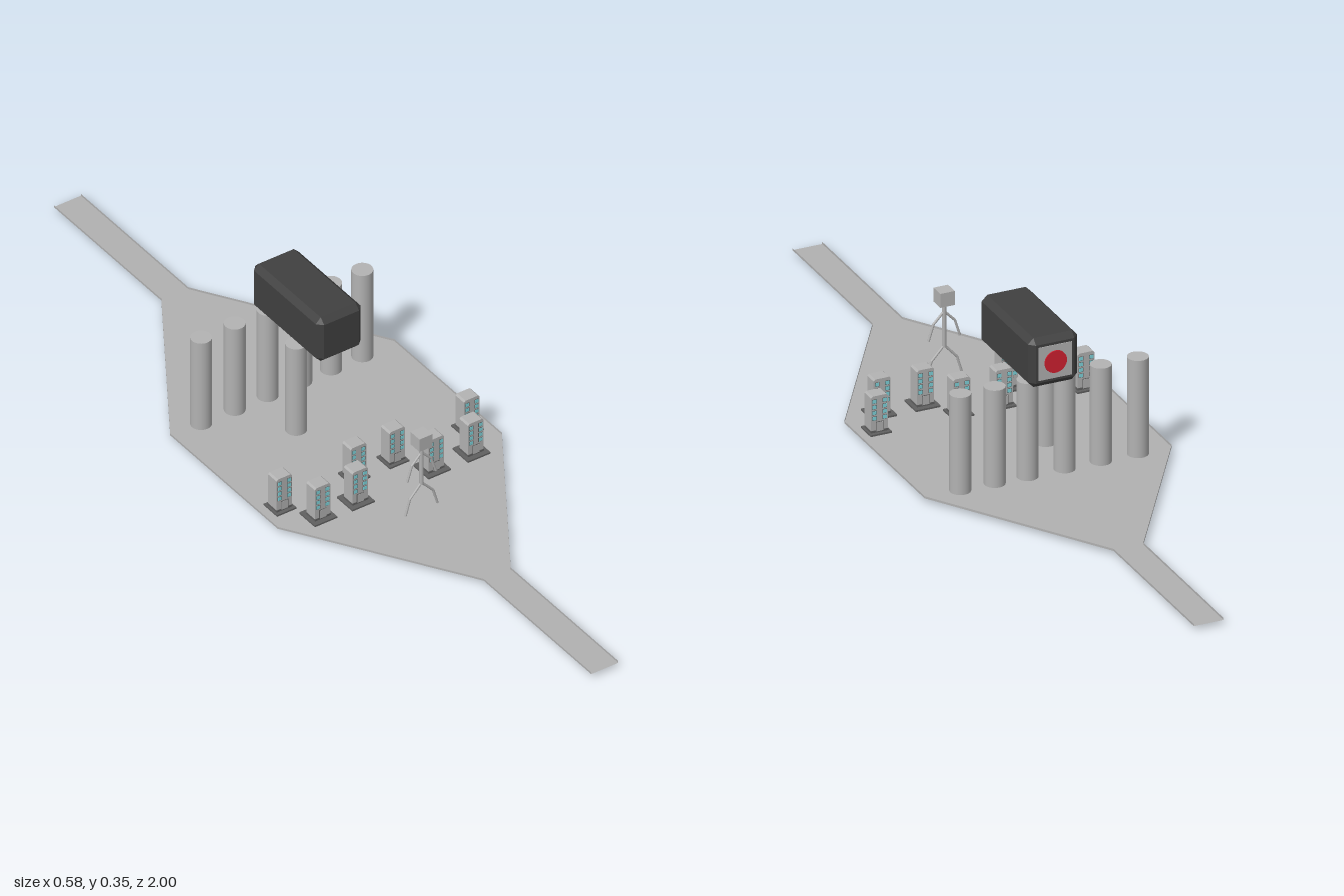
import * as THREE from 'three';
import { ConvexGeometry } from 'three/addons/geometries/ConvexGeometry.js';

const mat = (name, color, extra = {}) => {
  const m = new THREE.MeshStandardMaterial({ color, ...extra });
  m.name = name;
  return m;
};

export function createModel() {
  const grey = mat('light grey', 0xb2b2b2);
  const deckGrey = mat('deck grey', 0xb0b0b0, { side: THREE.DoubleSide });
  const plinthGrey = mat('plinth grey', 0x606060);
  const dark = mat('charcoal', 0x404040);
  const glass = mat('window blue', 0x7fd4dc);
  const red = mat('red', 0xd02030);

  const root = new THREE.Group();
  const add = (parent, name, geo, material, x = 0, y = 0, z = 0) => {
    const m = new THREE.Mesh(geo, material);
    m.name = name;
    m.position.set(x, y, z);
    parent.add(m);
    return m;
  };
  const box = (w, h, d) => new THREE.BoxGeometry(w, h, d);

  // Thin deck with a road at each end
  const edge = [[0.035, -1], [0.035, -0.6], [0.29, -0.2], [0.29, 0.2], [0.035, 0.6], [0.035, 1]];
  const outline = [...edge, ...edge.map(([x, z]) => [-x, z]).reverse()];
  const shape = new THREE.Shape(outline.map(([x, z]) => new THREE.Vector2(x, z)));
  add(root, 'deck', new THREE.ShapeGeometry(shape).rotateX(-Math.PI / 2), deckGrey, 0, 0.01, 0);

  // Low kerbs along both sides, open at the road ends
  for (const s of [1, -1]) {
    const pos = [];
    for (let i = 0; i < edge.length - 1; i++) {
      const [ax, az] = edge[i], [bx, bz] = edge[i + 1];
      const a = [s * ax, 0.01, az], b = [s * bx, 0.01, bz];
      const c = [s * bx, 0.015, bz], d = [s * ax, 0.015, az];
      const quad = s > 0 ? [a, c, b, a, d, c] : [a, b, c, a, c, d];
      pos.push(...quad.flat());
    }
    const g = new THREE.BufferGeometry();
    g.setAttribute('position', new THREE.Float32BufferAttribute(pos, 3));
    g.computeVertexNormals();
    add(root, s > 0 ? 'leftKerb' : 'rightKerb', g, deckGrey);
  }

  // Round pillars
  const pillarGeo = new THREE.CylinderGeometry(0.0235, 0.0235, 0.23, 32);
  const pillars = [[-0.212, -0.197], [-0.125, -0.197], [-0.04, -0.197], [0.047, -0.197],
    [0.124, -0.197], [0.205, -0.197], [-0.058, -0.065]];
  for (const [x, z] of pillars) add(root, 'pillar', pillarGeo, grey, x, 0.125, z);

  // Chamfered dark block with a lamp on its back
  const block = new THREE.Group();
  block.name = 'block';
  block.position.set(0, 0.29, -0.107);
  root.add(block);
  const h = [0.058, 0.058, 0.128], c = 0.013, corners = [];
  for (const sx of [1, -1]) for (const sy of [1, -1]) for (const sz of [1, -1])
    for (let k = 0; k < 3; k++) {
      const p = h.map((v, i) => (i === k ? v : v - c));
      corners.push(new THREE.Vector3(sx * p[0], sy * p[1], sz * p[2]));
    }
  add(block, 'blockBody', new ConvexGeometry(corners), dark);
  add(block, 'lampPanel', box(0.078, 0.078, 0.002), grey, 0, 0, -0.1285);
  add(block, 'lamp', new THREE.CylinderGeometry(0.026, 0.026, 0.004, 32).rotateX(Math.PI / 2), red, 0, 0, -0.13);

  // Small towers: bevelled corners on top, windows and doors front and back
  const w = 0.02, top = 0.1, b = 0.004;
  const face = new THREE.Shape([[-w, 0.01], [w, 0.01], [w, top - b], [w - b, top], [b - w, top], [-w, top - b]]
    .map(([x, y]) => new THREE.Vector2(x, y)));
  const towerGeo = new THREE.ExtrudeGeometry(face, { depth: 0.032, bevelEnabled: false }).translate(0, 0, -0.016);
  const windowGeo = box(0.009, 0.008, 0.002);
  const frameGeo = box(0.011, 0.01, 0.001);
  const tower = (x, z, plate) => {
    const t = new THREE.Group();
    t.name = 'tower';
    t.position.set(x, 0, z);
    root.add(t);
    add(t, 'towerBody', towerGeo, grey);
    add(t, 'towerPlate', box(plate, 0.004, plate), plinthGrey, 0, 0.012, 0);
    add(t, 'towerPlinth', box(0.041, 0.008, 0.034), plinthGrey, 0, 0.015, 0);
    for (const s of [1, -1]) {
      for (const wx of [-0.012, 0.012]) for (let r = 0; r < 4; r++) {
        const y = 0.0475 + r * 0.0133;
        add(t, 'windowFrame', frameGeo, plinthGrey, wx, y, s * 0.016);
        add(t, 'window', windowGeo, glass, wx, y, s * 0.016);
      }
      add(t, 'doorFrame', box(0.018, 0.023, 0.002), plinthGrey, 0, 0.0275, s * 0.0165);
      add(t, 'door', box(0.016, 0.021, 0.003), grey, 0, 0.0275, s * 0.0165);
    }
  };
  for (const x of [-0.242, -0.05, 0.05, 0.243]) tower(x, 0.14, 0.05);
  for (const x of [-0.193, -0.096, 0.101, 0.203]) tower(x, 0.212, 0.058);

  // Stick figure with a box head
  const figure = new THREE.Group();
  figure.name = 'figure';
  figure.position.z = 0.318;
  root.add(figure);
  const rod = (name, pts, r) => {
    for (let i = 0; i < pts.length - 1; i++) {
      const a = new THREE.Vector3(...pts[i], 0), e = new THREE.Vector3(...pts[i + 1], 0);
      const d = e.clone().sub(a);
      const m = add(figure, name, new THREE.CylinderGeometry(r, r, d.length(), 12), grey);
      m.position.copy(a).add(e).multiplyScalar(0.5);
      m.quaternion.setFromUnitVectors(new THREE.Vector3(0, 1, 0), d.normalize());
      if (i) add(figure, name + 'Joint', new THREE.SphereGeometry(r, 12, 8), grey, a.x, a.y, 0);
    }
  };
  add(figure, 'head', box(0.034, 0.033, 0.034), grey, 0, 0.197, 0);
  rod('torso', [[0, 0.078], [0, 0.181]], 0.0048);
  for (const s of [1, -1]) {
    rod('arm', [[0, 0.162], [s * 0.025, 0.136], [s * 0.037, 0.098]], 0.0028);
    rod('leg', [[0, 0.082], [s * 0.03, 0.049], [s * 0.044, 0.001]], 0.0028);
  }
  return root;
}
